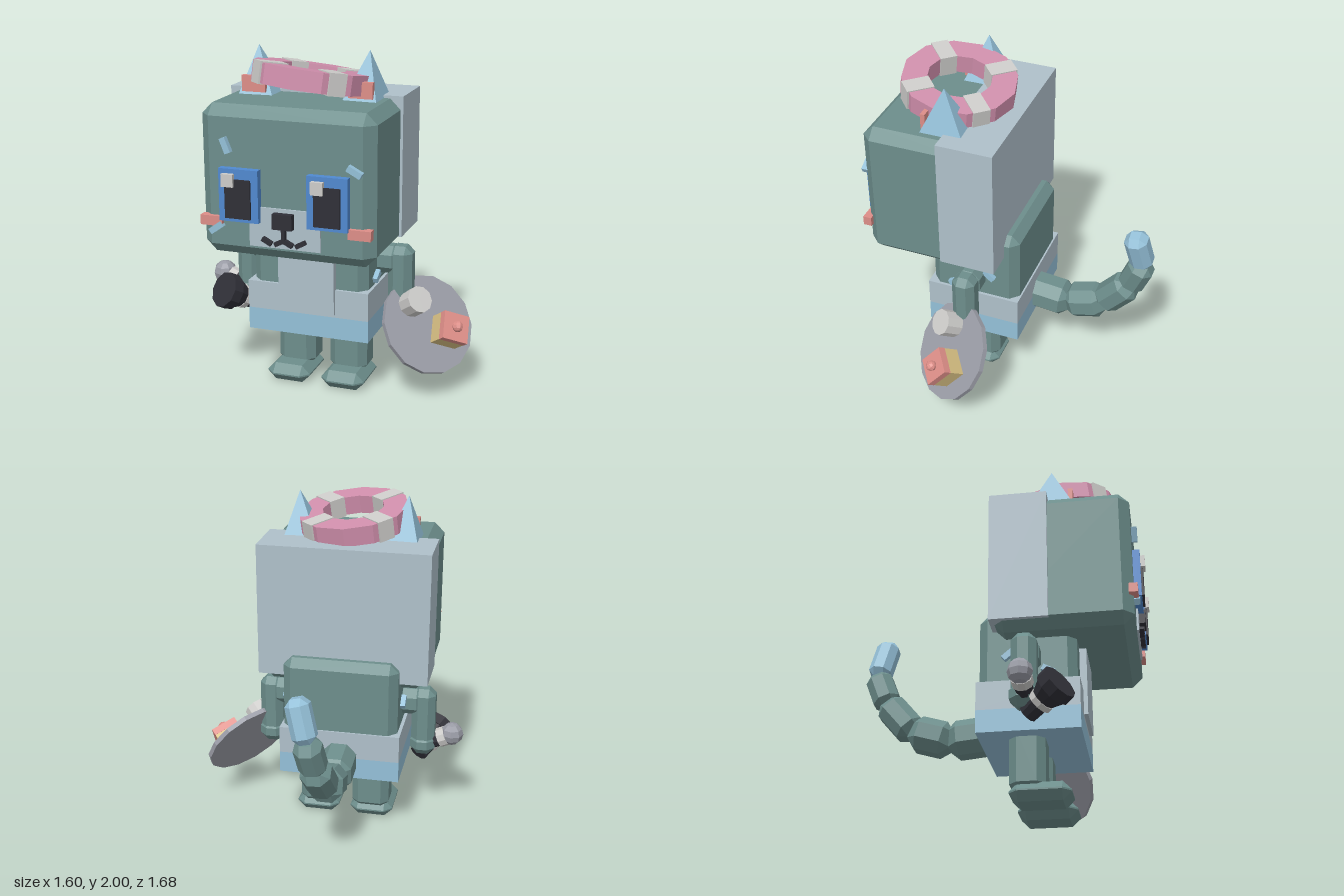
import * as THREE from 'three';
import { ConvexGeometry } from 'three/addons/geometries/ConvexGeometry.js';

const CX = -0.087; // the body's own middle line

const mat = (name, color) => {
  const m = new THREE.MeshStandardMaterial({ color, flatShading: true });
  m.name = name;
  return m;
};
const V = (x, y, z) => new THREE.Vector3(x, y, z);

// Box with every edge cut by c
function chamferGeo(w, h, d, c) {
  const p = [];
  for (const x of [-1, 1]) for (const y of [-1, 1]) for (const z of [-1, 1]) {
    const a = w / 2, b = h / 2, e = d / 2;
    p.push(V(x * a, y * (b - c), z * (e - c)), V(x * (a - c), y * b, z * (e - c)), V(x * (a - c), y * (b - c), z * e));
  }
  return new ConvexGeometry(p);
}

export function createModel() {
  const root = new THREE.Group();
  root.name = 'catCharacter';
  const teal = mat('teal fur', 0x6d8e8c), pale = mat('pale grey blue', 0xafc0ca);
  const sky = mat('light blue', 0x94c0d8), blue = mat('eye blue', 0x5089d0);
  const black = mat('black', 0x2f2f37), white = mat('off white', 0xcdccca);
  const salmon = mat('salmon', 0xdd8e88), pink = mat('pink', 0xd08fac);
  const yellow = mat('yellow', 0xd8c083), grey = mat('grey', 0x9a9ca6);

  const add = (name, geo, m, parent = root) => {
    const mesh = new THREE.Mesh(geo, m);
    mesh.name = name;
    parent.add(mesh);
    return mesh;
  };
  // Boxes given by their limits on each axis; c > 0 cuts the edges
  const span = (name, m, x0, x1, y0, y1, z0, z1, c = 0) => {
    const s = [x1 - x0, y1 - y0, z1 - z0];
    const mesh = add(name, c ? chamferGeo(...s, c) : new THREE.BoxGeometry(...s), m);
    mesh.position.set((x0 + x1) / 2, (y0 + y1) / 2, (z0 + z1) / 2);
    return mesh;
  };
  // The same box on both sides of the middle line, x measured from it
  const pair = (name, m, x0, x1, ...rest) => {
    span(name + 'Left', m, CX + x0, CX + x1, ...rest);
    span(name + 'Right', m, CX - x1, CX - x0, ...rest);
  };
  // Small bar between two points on the face
  const bar = (name, m, ax, ay, bx, by, w, z0, z1) => {
    const l = Math.hypot(bx - ax, by - ay);
    const mesh = add(name, new THREE.BoxGeometry(l, w, z1 - z0), m);
    mesh.position.set((ax + bx) / 2, (ay + by) / 2, (z0 + z1) / 2);
    mesh.rotation.z = Math.atan2(by - ay, bx - ax);
  };

  // Head and hood
  span('head', teal, -0.58, 0.405, 0.91, 1.74, -0.01, 0.77, 0.06);
  span('hood', pale, -0.595, 0.42, 0.96, 1.755, -0.025, 0.305);

  // Eyes and cheeks
  pair('eyeFrame', blue, 0.137, 0.363, 1.12, 1.41, 0.765, 0.812);
  pair('pupil', black, 0.178, 0.325, 1.14, 1.355, 0.805, 0.824);
  for (const x of [-0.425, 0.08]) span('eyeHighlight', white, x, x + 0.068, 1.315, 1.385, 0.81, 0.838);
  pair('cheek', salmon, 0.357, 0.485, 1.08, 1.135, 0.745, 0.795);

  // Muzzle, nose and mouth
  span('muzzle', pale, -0.29, 0.115, 0.985, 1.205, 0.76, 0.782);
  span('nose', black, -0.145, -0.033, 1.1, 1.185, 0.77, 0.818);
  span('mouthStem', black, CX - 0.011, CX + 0.011, 1.02, 1.1, 0.775, 0.808);
  for (const s of [-1, 1]) {
    bar('mouthInner', black, CX, 1.035, CX + s * 0.05, 1.01, 0.024, 0.775, 0.808);
    bar('mouthOuter', black, CX + s * 0.07, 1.01, CX + s * 0.122, 1.038, 0.024, 0.775, 0.808);
  }

  // Fur stripes on the face
  bar('faceStripe', sky, -0.43, 1.57, -0.398, 1.49, 0.034, 0.765, 0.803);
  bar('faceStripe', sky, 0.27, 1.465, 0.345, 1.425, 0.034, 0.765, 0.803);
  bar('faceStripe', sky, -0.515, 1.045, -0.445, 1.095, 0.034, 0.765, 0.803);

  // Ears
  for (const s of [-1, 1]) {
    const at = (x, y, z) => V(CX + s * x, y, z);
    add('ear', new ConvexGeometry([
      at(0.2, 1.73, 0.2), at(0.4, 1.73, 0.19), at(0.4, 1.73, 0.45), at(0.2, 1.73, 0.44), at(0.323, 2, 0.32),
    ]), sky);
  }
  pair('innerEar', salmon, 0.24, 0.378, 1.755, 1.845, 0.418, 0.445);

  // Tilted swim ring with four bands
  const ring = new THREE.Group();
  ring.name = 'swimRing';
  ring.position.set(-0.08, 1.845, 0.37);
  ring.rotation.set(-0.13, 0, -0.1);
  root.add(ring);
  const section = [[0.185, -0.055], [0.33, -0.055], [0.33, 0.055], [0.185, 0.055], [0.185, -0.055]];
  add('ringBody', new THREE.LatheGeometry(section.map(p => new THREE.Vector2(...p)), 12), pink, ring);
  for (let i = 0; i < 4; i++) {
    const a = Math.PI / 4 + i * Math.PI / 2;
    const band = add('ringBand', new THREE.BoxGeometry(0.1, 0.122, 0.16), white, ring);
    band.position.set(Math.sin(a) * 0.25, 0, Math.cos(a) * 0.25);
    band.rotation.y = a;
  }

  // Torso, bib and skirt
  span('torso', teal, -0.43, 0.258, 0.38, 1.09, -0.105, 0.44, 0.05);
  span('bib', pale, -0.255, 0.08, 0.51, 0.95, 0.43, 0.48);
  span('skirtTop', pale, -0.45, 0.275, 0.49, 0.655, -0.115, 0.457);
  span('skirtHem', sky, -0.45, 0.275, 0.36, 0.49, -0.115, 0.457);
  for (const s of [-1, 1]) for (const [z, y, r] of [[0.285, 0.705, 0.5], [0.065, 0.81, -0.7]]) {
    const stripe = add('sideStripe', new THREE.BoxGeometry(0.035, 0.034, 0.075), sky);
    stripe.position.set(CX + s * 0.355, y, z);
    stripe.rotation.x = r;
  }

  // Legs, feet and arms
  pair('leg', teal, 0.047, 0.277, 0.06, 0.45, 0.05, 0.25, 0.045);
  pair('foot', teal, 0.037, 0.3, 0, 0.105, 0.05, 0.388, 0.048);
  pair('shoulder', teal, 0.3, 0.475, 0.7, 0.865, 0.095, 0.245, 0.045);
  pair('arm', teal, 0.4, 0.542, 0.5, 0.868, 0.1, 0.24, 0.04);
  pair('hand', teal, 0.395, 0.547, 0.44, 0.58, 0.09, 0.25, 0.045);

  // Tail: joints [x, y, z, width]
  const joints = [[-0.09, 0.48, -0.06, 0.21], [-0.09, 0.455, -0.32, 0.2], [-0.09, 0.52, -0.54, 0.175],
    [-0.07, 0.71, -0.7, 0.155], [-0.045, 0.9, -0.775, 0.135], [0.02, 1.145, -0.73, 0]];
  for (let i = 0; i < 5; i++) {
    const a = V(...joints[i]), b = V(...joints[i + 1]), w = joints[i][3], dir = b.clone().sub(a);
    const seg = add(i < 4 ? 'tailSegment' : 'tailTip', chamferGeo(w, dir.length() + (i < 4 ? 0.03 : 0), w, w * 0.28), i < 4 ? teal : sky);
    seg.position.copy(a).add(b).multiplyScalar(0.5);
    seg.quaternion.setFromUnitVectors(V(0, 1, 0), dir.normalize());
  }

  // Tray in the left hand, its local z pointing out of the dish
  const tray = new THREE.Group();
  tray.name = 'tray';
  tray.position.set(0.55, 0.41, 0.19);
  tray.lookAt(V(0.55 + 0.65, 0.41 + 0.53, 0.19 + 0.53));
  root.add(tray);
  const disc = (name, m, r, h, n, x, y, z) => {
    const d = add(name, new THREE.CylinderGeometry(r, r, h, n), m, tray);
    d.rotation.x = Math.PI / 2;
    d.position.set(x, y, z);
  };
  disc('plate', grey, 0.292, 0.03, 14, 0, 0, 0);
  disc('cup', white, 0.078, 0.12, 10, -0.08, 0.135, 0.065);
  const cake = new THREE.Group();
  cake.name = 'cake';
  cake.position.set(0.08, -0.07, 0);
  cake.rotation.z = -0.45;
  tray.add(cake);
  add('cakeBase', new THREE.BoxGeometry(0.16, 0.16, 0.1), yellow, cake).position.z = 0.06;
  add('cakeIcing', new THREE.BoxGeometry(0.162, 0.162, 0.045), salmon, cake).position.z = 0.132;
  add('cherry', new THREE.SphereGeometry(0.032, 8, 6), salmon, cake).position.z = 0.17;

  // Torch and ball-headed stick in the right hand
  const rod = (name, m, a, b, ra, rb) => {
    const dir = b.clone().sub(a);
    const r = add(name, new THREE.CylinderGeometry(rb, ra, dir.length(), 10), m);
    r.position.copy(a).add(b).multiplyScalar(0.5);
    r.quaternion.setFromUnitVectors(V(0, 1, 0), dir.normalize());
  };
  const t0 = V(-0.53, 0.42, 0.18), t1 = V(-0.65, 0.54, 0.37);
  const along = t => t0.clone().lerp(t1, t);
  rod('torchGrip', black, along(0), along(0.35), 0.055, 0.06);
  rod('torchRing', white, along(0.35), along(0.48), 0.075, 0.075);
  rod('torchNeck', black, along(0.48), along(0.75), 0.07, 0.1);
  rod('torchHead', black, along(0.75), along(1), 0.108, 0.108);
  rod('stick', black, V(-0.55, 0.49, 0.18), V(-0.7, 0.56, 0.172), 0.045, 0.055);
  rod('stickCollar', white, V(-0.655, 0.54, 0.174), V(-0.7, 0.56, 0.172), 0.06, 0.06);
  add('stickBall', new THREE.SphereGeometry(0.07, 8, 6), grey).position.set(-0.732, 0.577, 0.17);

  return root;
}
